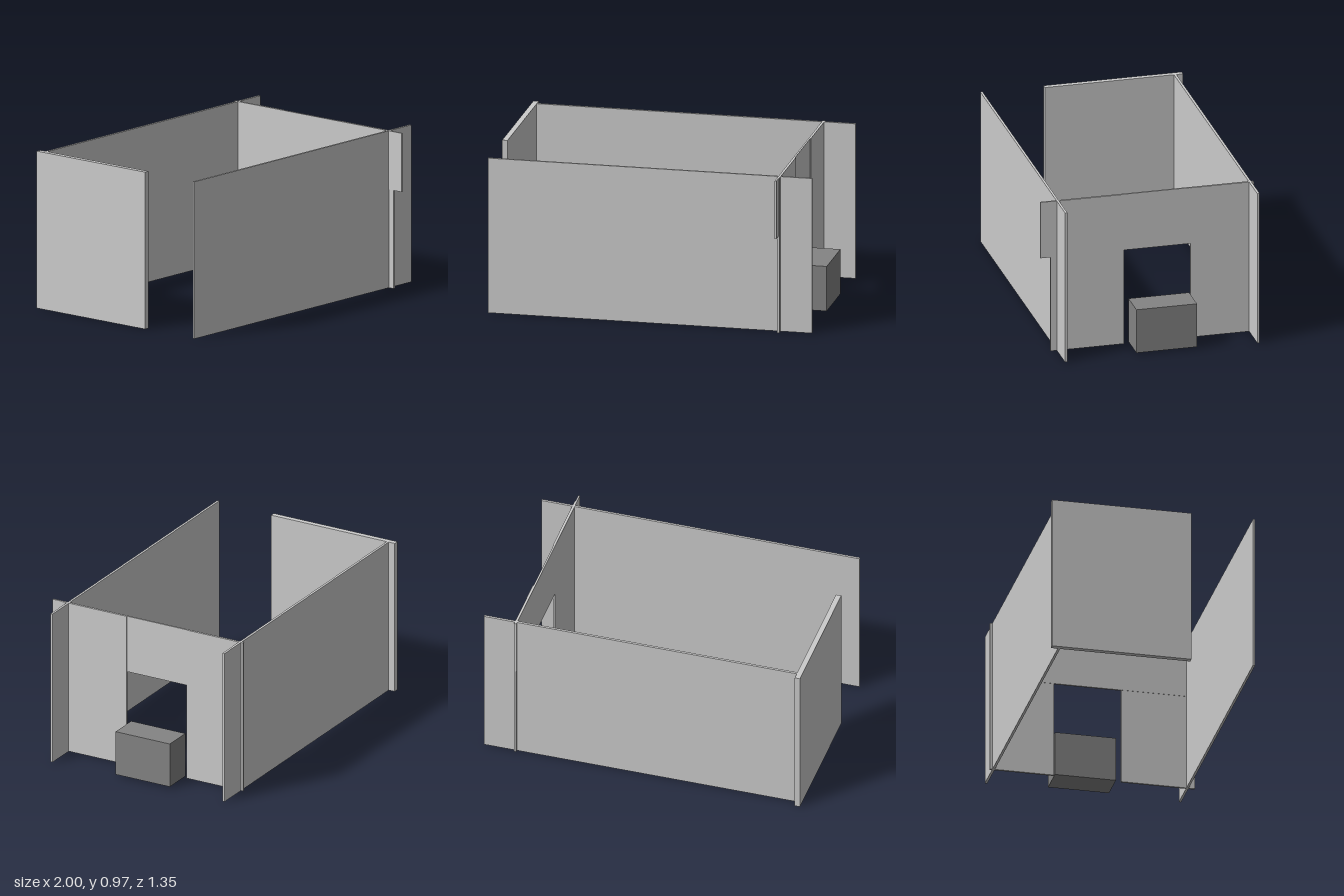
import * as THREE from 'three';

export function createModel() {
  const group = new THREE.Group();
  const grey = new THREE.MeshStandardMaterial({ color: 0xcccccc });
  const dark = new THREE.MeshStandardMaterial({ color: 0x848484 });
  const H = 0.97;      // wall height
  const doorH = 0.607; // top of the doorway

  // Box given by its extents along each axis
  const slab = (name, [x0, x1], [y0, y1], [z0, z1], material = grey) => {
    const mesh = new THREE.Mesh(new THREE.BoxGeometry(x1 - x0, y1 - y0, z1 - z0), material);
    mesh.position.set((x0 + x1) / 2, (y0 + y1) / 2, (z0 + z1) / 2);
    mesh.name = name;
    group.add(mesh);
  };

  // Long walls and the thick end wall
  slab('frontWall', [-1, 1], [0, H], [0.563, 0.577]);
  slab('backWall', [-0.967, 1], [0, H], [-0.635, -0.62]);
  slab('endWall', [-1, -0.967], [0, H], [-0.677, 0.183]);

  // Cross wall with a doorway: two full-height panels and a lintel
  slab('doorWallFront', [0.793, 0.806], [0, H], [0.16, 0.615]);
  slab('doorWallBack', [0.793, 0.806], [0, H], [-0.65, -0.255]);
  slab('doorLintel', [0.791, 0.802], [doorH, H], [-0.648, 0.677]);

  // Step block outside the doorway
  slab('stepBlock', [0.803, 0.99], [0.01, 0.29], [-0.247, 0.13], dark);

  return group;
}
